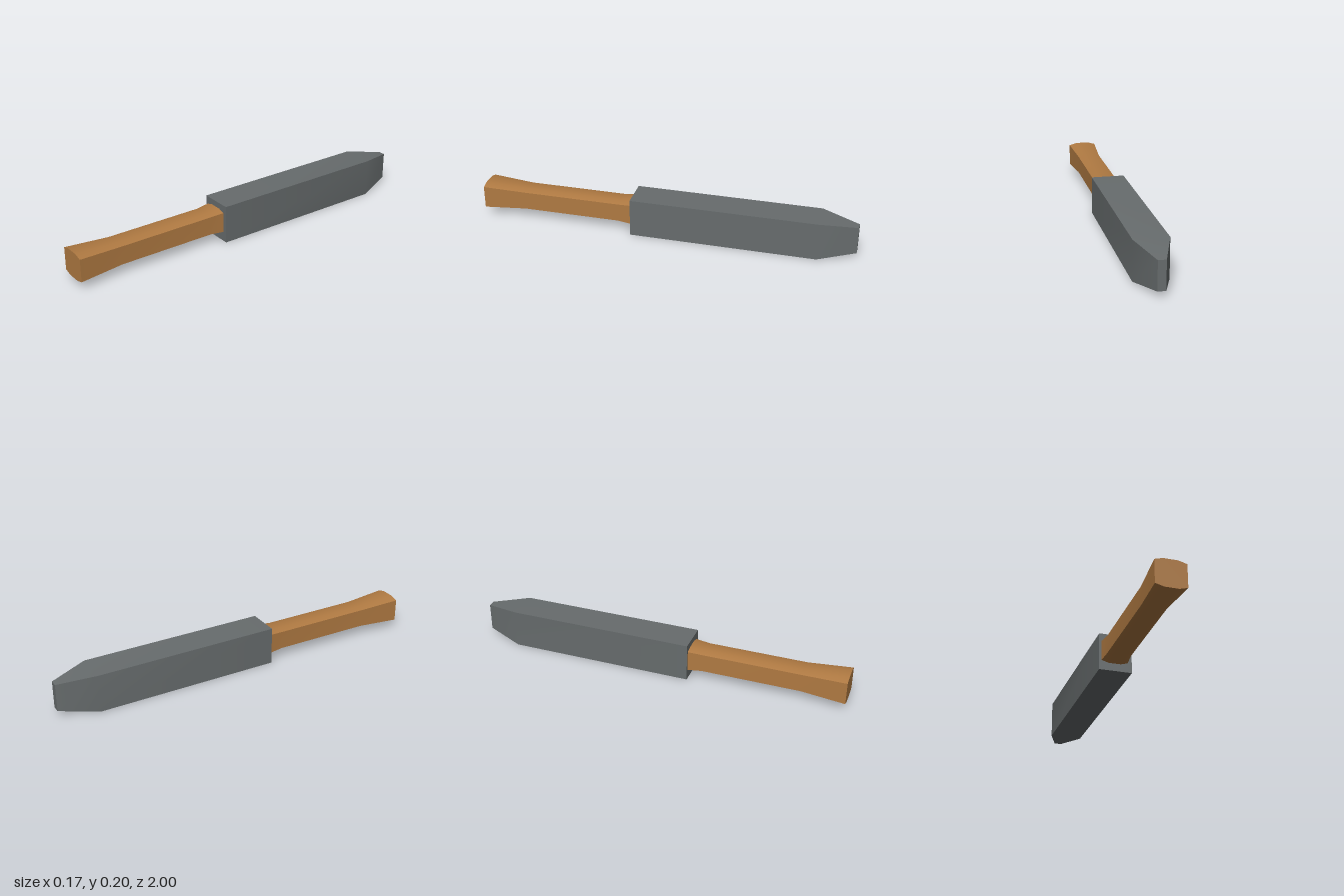
import * as THREE from 'three';
import { toCreasedNormals } from 'three/addons/utils/BufferGeometryUtils.js';

// Skins equal-sized cross-sections, listed from front (+z) to back, and caps both ends.
// Each ring's [x, y] points run counter-clockwise as seen from the front.
function loft(rings) {
  const n = rings[0].points.length;
  const positions = [];
  const index = [];
  for (const { z, points } of rings) {
    for (const [x, y] of points) positions.push(x, y, z);
  }
  for (let r = 0; r < rings.length - 1; r++) {
    for (let j = 0; j < n; j++) {
      const a = r * n + j;
      const b = r * n + (j + 1) % n;
      index.push(a, a + n, b + n, a, b + n, b);
    }
  }
  const last = (rings.length - 1) * n;
  for (let j = 1; j < n - 1; j++) {
    index.push(0, j, j + 1);
    index.push(last, last + j + 1, last + j);
  }
  const geometry = new THREE.BufferGeometry();
  geometry.setAttribute('position', new THREE.Float32BufferAttribute(positions, 3));
  geometry.setIndex(index);
  return toCreasedNormals(geometry, Math.PI / 6);
}

// Rectangular blade section
const blockRing = (z, w, h) => ({
  z,
  points: [[w, -h], [w, h], [-w, h], [-w, -h]].map(([x, y]) => [x, y + 0.101]),
});

// Grip section with gently crowned top and bottom, set slightly off centre
const gripRing = (z, w, h) => {
  const flat = w * 0.46;
  const side = h * 0.835;
  const points = [
    [w, -side], [w, side], [flat, h], [-flat, h],
    [-w, side], [-w, -side], [-flat, -h], [flat, -h],
  ];
  return { z, points: points.map(([x, y]) => [x - 0.005, y + 0.106]) };
};

export function createModel() {
  const steel = new THREE.MeshStandardMaterial({ color: 0x676c6d });
  steel.name = 'steel grey';
  const wood = new THREE.MeshStandardMaterial({ color: 0xb07a42 });
  wood.name = 'wood brown';

  // Thick blade block tapering to a blunt tip
  const blade = new THREE.Mesh(loft([
    blockRing(0.175, 0.087, 0.101),
    blockRing(-0.805, 0.087, 0.101),
    blockRing(-1, 0.02, 0.073),
  ]), steel);
  blade.name = 'blade';

  // Waisted grip, flared at both ends
  const handle = new THREE.Mesh(loft([
    gripRing(1, 0.0775, 0.072),
    gripRing(0.77, 0.062, 0.058),
    gripRing(0.25, 0.062, 0.058),
    gripRing(0.17, 0.07, 0.065),
  ]), wood);
  handle.name = 'handle';

  const model = new THREE.Group();
  model.name = 'shortBlade';
  model.add(blade, handle);
  return model;
}
